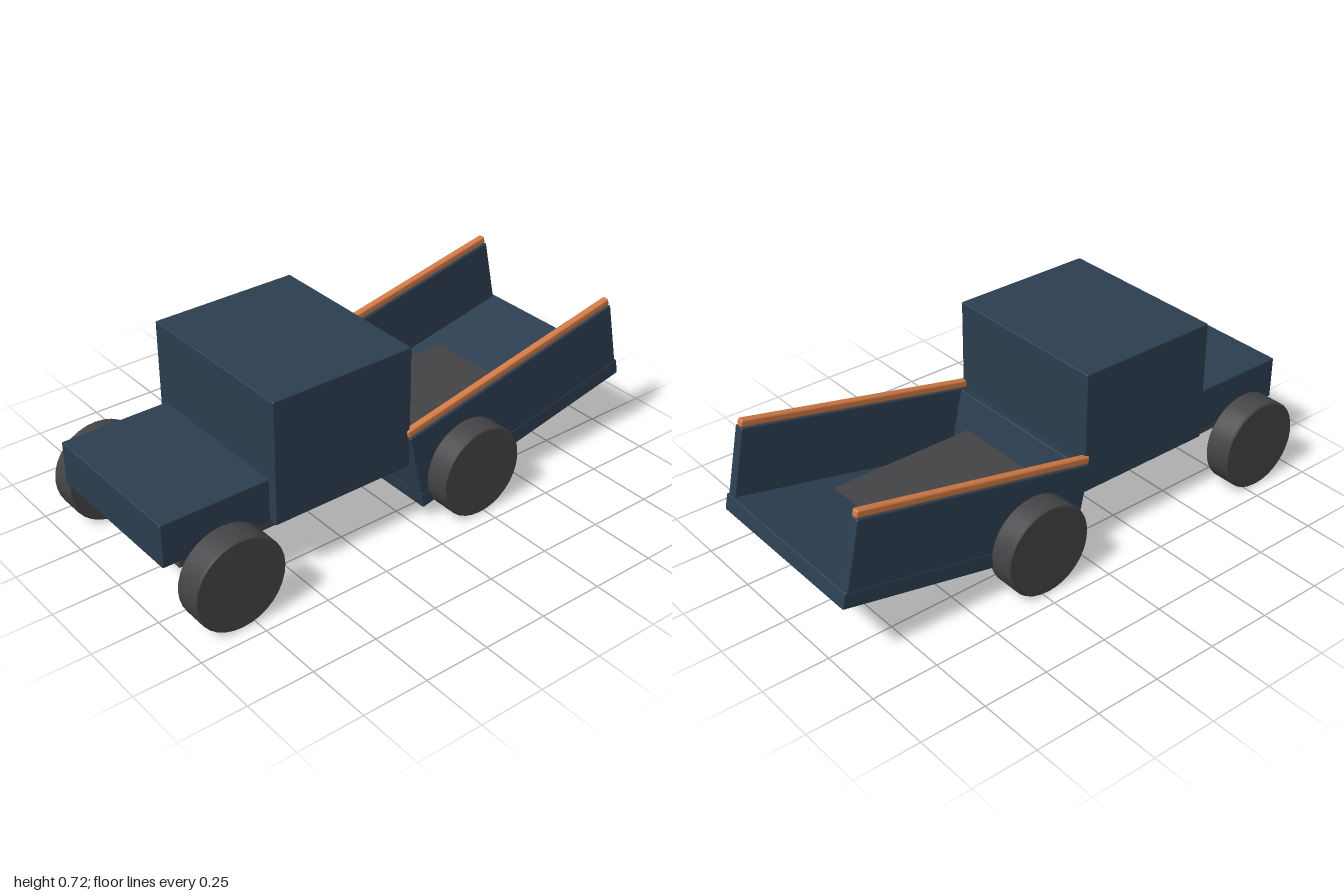
import * as THREE from 'three';
import { RoundedBoxGeometry } from 'three/addons/geometries/RoundedBoxGeometry.js';
import { toCreasedNormals } from 'three/addons/utils/BufferGeometryUtils.js';

const paint = new THREE.MeshStandardMaterial({ color: 0x2c3e50 });
const dark = new THREE.MeshStandardMaterial({ color: 0x444446 });
const copper = new THREE.MeshStandardMaterial({ color: 0xd07a45 });

// Softly edged box given by its extents on each axis
function box(parent, name, material, [x0, x1], [y0, y1], [z0, z1], radius = 0.005) {
  const geometry = new RoundedBoxGeometry(x1 - x0, y1 - y0, z1 - z0, 2, radius);
  const mesh = new THREE.Mesh(geometry, material);
  mesh.position.set((x0 + x1) / 2, (y0 + y1) / 2, (z0 + z1) / 2);
  mesh.name = name;
  parent.add(mesh);
  return mesh;
}

// Plain disc wheel with a small edge bevel, axle along z
function wheelGeometry(radius, width, bevel) {
  const h = width / 2;
  const profile = [
    [0, -h], [radius - bevel, -h], [radius, -h + bevel],
    [radius, h - bevel], [radius - bevel, h], [0, h],
  ].map(([r, y]) => new THREE.Vector2(r, y));
  const lathe = new THREE.LatheGeometry(profile, 32).rotateX(Math.PI / 2);
  return toCreasedNormals(lathe, 0.5);
}

export function createModel() {
  const truck = new THREE.Group();
  truck.name = 'dumpTruck';

  // Frame and front body
  box(truck, 'chassis', dark, [-0.905, 0.905], [0.17, 0.247], [-0.245, 0.245]);
  box(truck, 'hood', paint, [-1, -0.583], [0.25, 0.415], [-0.305, 0.305]);
  box(truck, 'cab', paint, [-0.587, -0.02], [0.25, 0.72], [-0.34, 0.34]);

  // Tilted cargo bed, built level from its lower front edge
  const bed = new THREE.Group();
  bed.name = 'cargoBed';
  bed.position.set(0.036, 0.057, 0);
  bed.rotation.z = THREE.MathUtils.degToRad(12);
  truck.add(bed);
  box(bed, 'bedFloor', paint, [0, 0.983], [0, 0.062], [-0.355, 0.355]);
  box(bed, 'headboard', paint, [0, 0.042], [0.06, 0.318], [-0.316, 0.316]);
  for (const side of [1, -1]) {
    const label = side > 0 ? 'left' : 'right';
    const span = (a, b) => (side > 0 ? [a, b] : [-b, -a]);
    box(bed, label + 'BedWall', paint, [0, 0.974], [0.06, 0.32], span(0.315, 0.355));
    box(bed, label + 'BedRail', copper, [0, 0.974], [0.318, 0.348], span(0.321, 0.349), 0.008);
  }

  // Wheels
  const wheelShape = wheelGeometry(0.175, 0.106, 0.006);
  for (const [x, axle] of [[-0.8, 'front'], [0.228, 'rear']]) {
    for (const side of [1, -1]) {
      const wheel = new THREE.Mesh(wheelShape, dark);
      wheel.name = axle + (side > 0 ? 'Left' : 'Right') + 'Wheel';
      wheel.position.set(x, 0.175, side * 0.392);
      truck.add(wheel);
    }
  }
  return truck;
}
